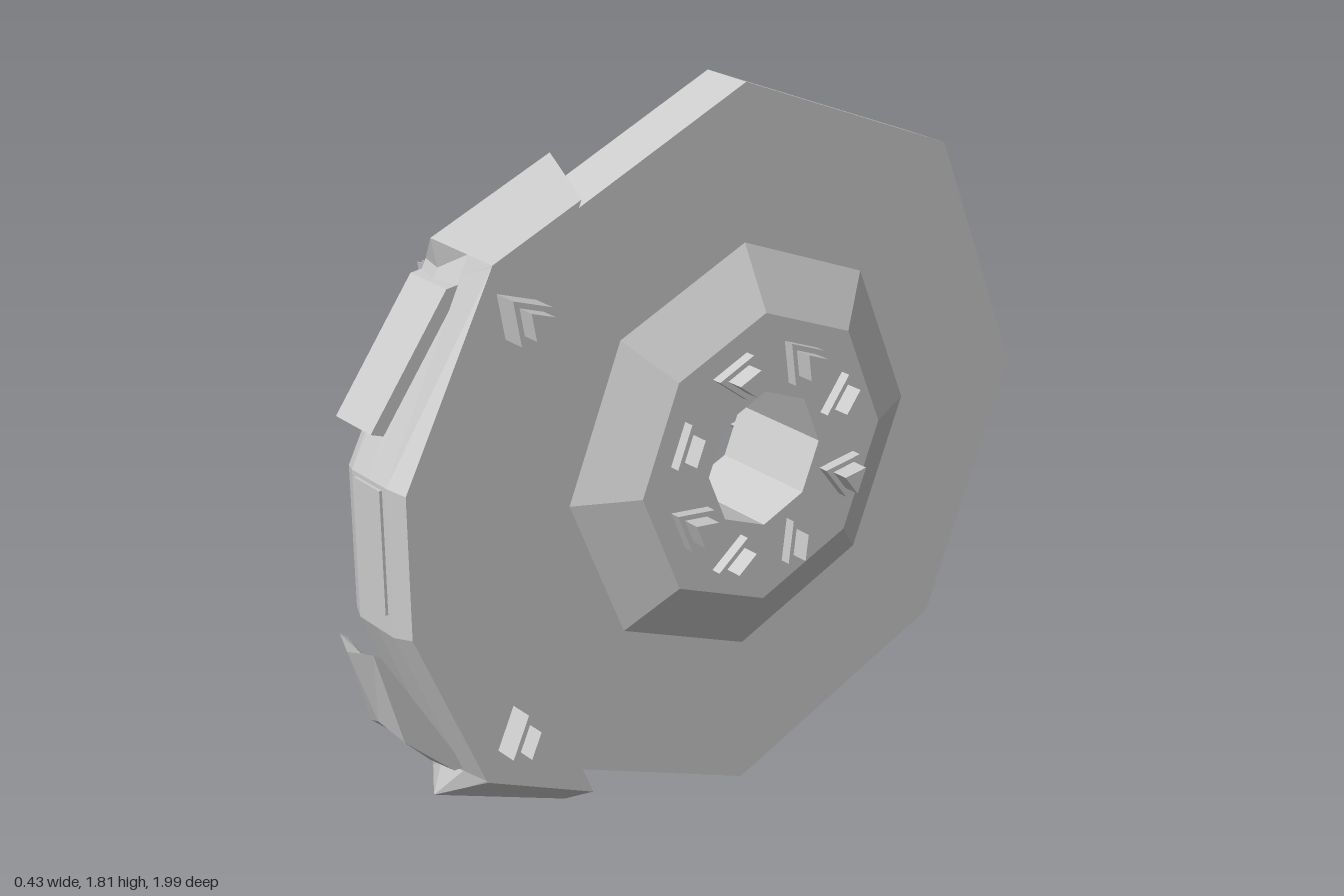
import * as THREE from 'three';

const material = new THREE.MeshStandardMaterial({ color: 0xcccccc, flatShading: true });
const AXLE = { z: -0.09, y: 0.905 };

// Lofts [z, y] outlines placed at increasing x and closes both ends.
function loft(name, rings) {
  const toVectors = (pts) => pts.map(([z, y]) => new THREE.Vector2(z, y));
  const flip = THREE.ShapeUtils.area(toVectors(rings[0].pts)) < 0;
  const sections = rings.map(({ x, pts }) => ({ x, pts: flip ? [...pts].reverse() : pts }));
  const n = sections[0].pts.length;
  const positions = [];
  const index = [];
  for (const { x, pts } of sections) for (const [z, y] of pts) positions.push(x, y, z);
  for (let s = 0; s < sections.length - 1; s++) {
    for (let j = 0; j < n; j++) {
      const a = s * n + j, b = s * n + (j + 1) % n;
      index.push(a, a + n, b + n, a, b + n, b);
    }
  }
  const last = (sections.length - 1) * n;
  for (const [a, b, c] of THREE.ShapeUtils.triangulateShape(toVectors(sections[0].pts), [])) index.push(a, b, c);
  for (const [a, b, c] of THREE.ShapeUtils.triangulateShape(toVectors(sections.at(-1).pts), [])) index.push(last + a, last + c, last + b);
  const indexed = new THREE.BufferGeometry();
  indexed.setAttribute('position', new THREE.Float32BufferAttribute(positions, 3));
  indexed.setIndex(index);
  const geometry = indexed.toNonIndexed();
  geometry.computeVertexNormals();
  const mesh = new THREE.Mesh(geometry, material);
  mesh.name = name;
  return mesh;
}

// Three-sided bolt: wide base and narrower head, on both sides of the model.
function boltPair(name, z, y, angle, xStart) {
  const group = new THREE.Group();
  group.name = name;
  const triangle = (r) => [0, 1, 2].map((i) => {
    const t = angle + i * Math.PI * 2 / 3;
    return [z + r * Math.cos(t), y + r * Math.sin(t)];
  });
  const steps = [['boltBase', 0.064, xStart, 0.172], ['boltHead', 0.039, 0.172, 0.216]];
  for (const [part, r, x0, x1] of steps) {
    const pts = triangle(r);
    group.add(loft(part, [{ x: x0, pts }, { x: x1, pts }]));
    group.add(loft(part, [{ x: -x1, pts }, { x: -x0, pts }]));
  }
  return group;
}

export function createModel() {
  const model = new THREE.Group();
  model.name = 'brakeDisc';

  // Octagonal disc with raised hub and axle hole
  const profile = [
    [0.173, -0.146], [0.37, -0.146], [0.522, -0.068], [0.905, -0.068],
    [0.905, 0.068], [0.522, 0.068], [0.37, 0.146], [0.173, 0.146], [0.173, -0.146],
  ].map(([r, a]) => new THREE.Vector2(r, a));
  const disc = new THREE.Mesh(new THREE.LatheGeometry(profile, 8), material);
  disc.geometry.rotateZ(-Math.PI / 2);
  disc.position.set(0, AXLE.y, AXLE.z);
  disc.name = 'disc';
  model.add(disc);

  // Ring of hub bolts pointing at the axle
  for (let i = 0; i < 8; i++) {
    const t = (i + 0.5) * Math.PI / 4;
    model.add(boltPair('hubBolt', AXLE.z + 0.255 * Math.cos(t), AXLE.y + 0.255 * Math.sin(t), t + Math.PI, 0.14));
  }

  // Caliper: ridged ends and a flat front between them
  const inner = [[0.66, 0.77], [0.66, 1.064]];
  const side = [[0.415, 1.647], [0.655, 1.55], [0.657, 1.545], [0.9, 1.08],
    [0.9, 0.733], [0.717, 0.31], [0.715, 0.305], [0.412, 0.166], ...inner];
  const bevel = [[0.415, 1.679], [0.687, 1.57], [0.705, 1.53], [0.92, 1.09],
    [0.92, 0.73], [0.75, 0.33], [0.745, 0.283], [0.413, 0.138], ...inner];
  const ridge = [[0.415, 1.727], [0.735, 1.6], [0.72, 1.53], [0.92, 1.09],
    [0.92, 0.73], [0.765, 0.33], [0.79, 0.25], [0.415, 0.096], ...inner];
  model.add(loft('caliper', [
    { x: -0.112, pts: side }, { x: -0.067, pts: bevel }, { x: 0, pts: ridge },
    { x: 0.067, pts: bevel }, { x: 0.112, pts: side },
  ]));

  // Upper flap, tilted outward at its lower end
  const flap = [[0.7, 1.51], [0.745, 1.505], [0.952, 1.225], [0.92, 1.213]];
  model.add(loft('upperFlap', [{ x: -0.068, pts: flap }, { x: 0.068, pts: flap }]));

  // Lower flap with a centre ridge
  const flapSide = [[0.975, 0.705], [0.905, 0.46], [0.775, 0.34], [0.745, 0.34], [0.955, 0.69]];
  const flapRidge = [[1.0, 0.695], [0.93, 0.495], [0.795, 0.345], [0.745, 0.34], [0.965, 0.68]];
  model.add(loft('lowerFlap', [
    { x: -0.068, pts: flapSide }, { x: 0, pts: flapRidge }, { x: 0.068, pts: flapSide },
  ]));

  // Centre plate on the caliper front
  const plate = new THREE.Mesh(new THREE.BoxGeometry(0.1, 0.3, 0.03), material);
  plate.position.set(0, 0.93, 0.912);
  plate.name = 'centrePlate';
  model.add(plate);

  // Caliper bolts
  model.add(boltPair('upperCaliperBolt', 0.605, 1.435, 0.87, 0.1));
  model.add(boltPair('lowerCaliperBolt', 0.63, 0.415, 1.48, 0.1));

  return model;
}
